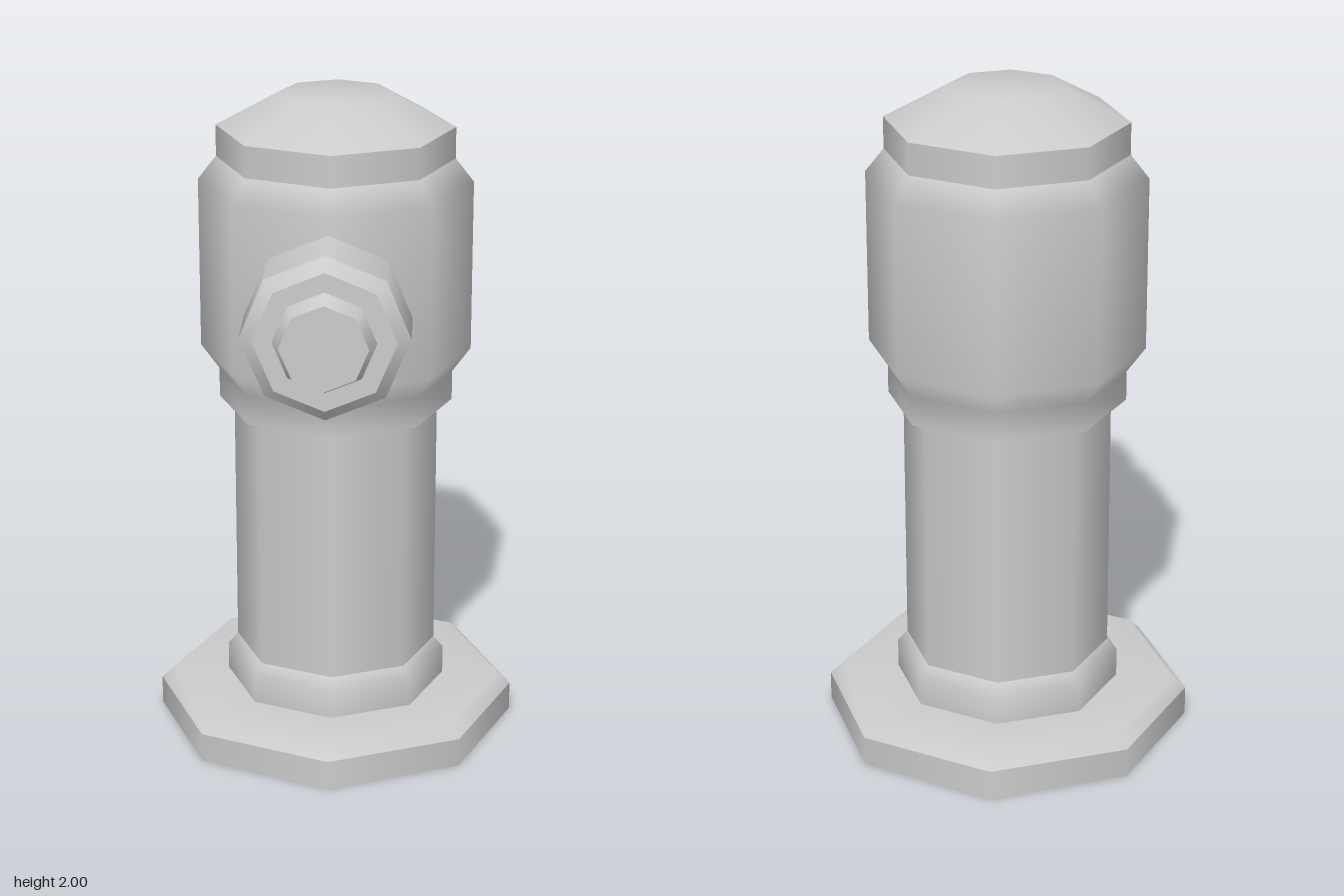
import * as THREE from 'three';

const SIDES = 8;

export function createModel() {
  const model = new THREE.Group();
  const material = new THREE.MeshStandardMaterial({ color: 0xcccccc, side: THREE.DoubleSide });

  // Eight-sided turned part from [radius, height] pairs, listed bottom to top
  function turned(name, parent, profile) {
    const points = profile.map(([r, h]) => new THREE.Vector2(r, h));
    const mesh = new THREE.Mesh(new THREE.LatheGeometry(points, SIDES), material);
    mesh.name = name;
    parent.add(mesh);
    return mesh;
  }

  // Upright column, set back so the nozzle balances it
  const column = new THREE.Group();
  column.name = 'column';
  column.position.z = -0.12;
  model.add(column);

  // Base flange, open underneath
  turned('baseRim', column, [[0.555, 0], [0.555, 0.09]]);
  turned('baseTop', column, [[0.555, 0.09], [0.515, 0.127], [0.34, 0.127]]);

  // Hollow shaft with a collar at its foot
  turned('shaftCollar', column, [[0.34, 0.127], [0.34, 0.215], [0.31, 0.25]]);
  turned('shaft', column, [[0.31, 0.25], [0.31, 1.05]]);

  // Wide head and its domed top
  turned('headUnderside', column, [[0.31, 1.05], [0.355, 1.05]]);
  turned('head', column, [
    [0.355, 1.05], [0.355, 1.14], [0.41, 1.215], [0.41, 1.735], [0.355, 1.805],
  ]);
  turned('domeBand', column, [[0.355, 1.805], [0.355, 1.9]]);
  turned('dome', column, [[0.355, 1.9], [0.17, 2], [0, 2]]);

  // Outlet nozzle pointing forward
  const nozzle = new THREE.Group();
  nozzle.name = 'nozzle';
  nozzle.position.y = 1.475;
  nozzle.rotation.x = Math.PI / 2;
  model.add(nozzle);

  turned('nozzleNeck', nozzle, [[0.185, 0.1], [0.185, 0.39]]);
  turned('capBack', nozzle, [[0.18, 0.39], [0.238, 0.39]]);
  turned('capSide', nozzle, [[0.238, 0.39], [0.238, 0.585]]);
  turned('capBevel', nozzle, [[0.238, 0.585], [0.2, 0.62]]);
  turned('capFront', nozzle, [[0.2, 0.62], [0.14, 0.62]]);
  turned('capNut', nozzle, [[0.145, 0.62], [0.124, 0.675]]);
  turned('capNutFace', nozzle, [[0.124, 0.675], [0, 0.675]]);

  return model;
}
